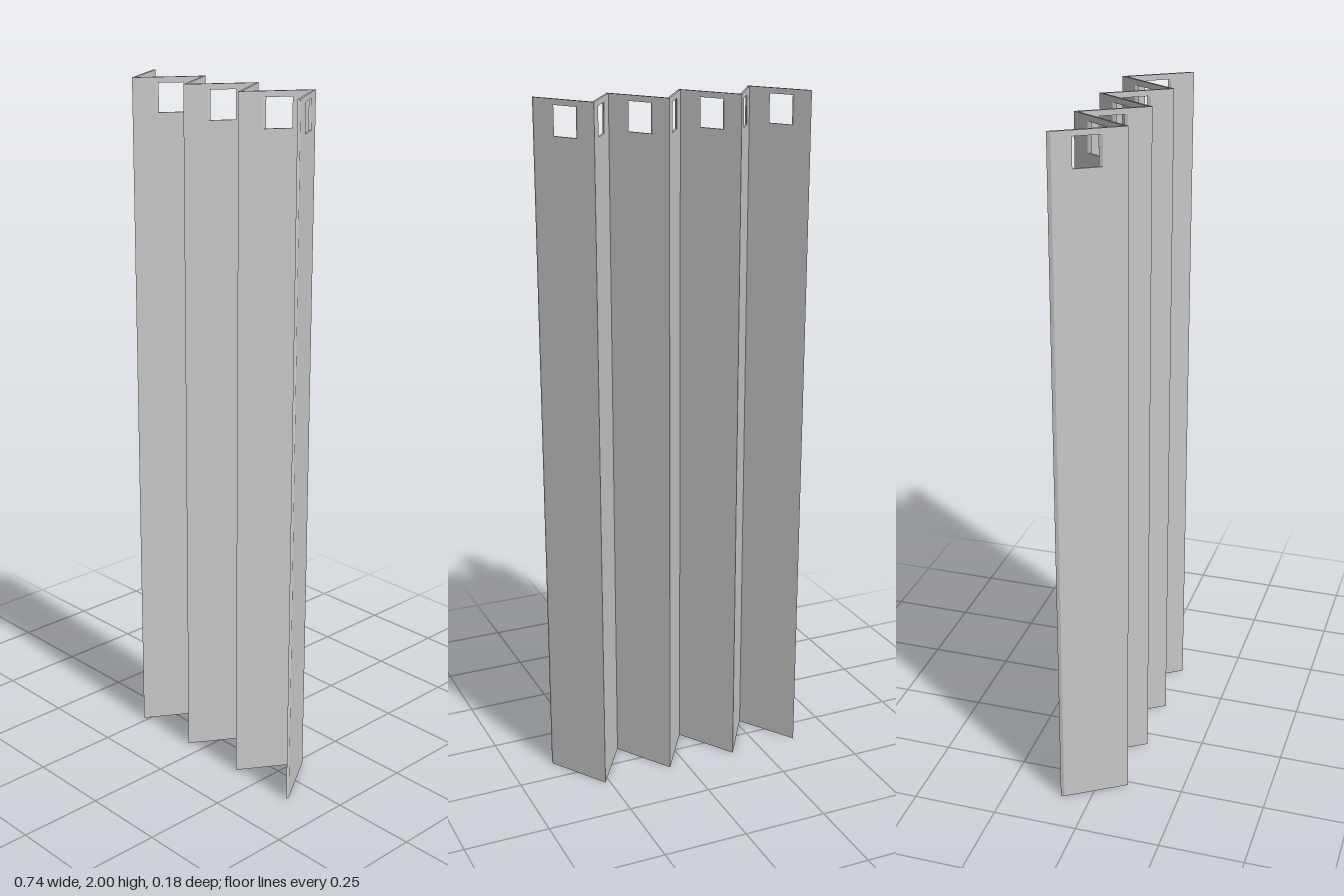
import * as THREE from 'three';

const PANELS = 7, WIDTH = 0.74, HEIGHT = 2, FOLD = 0.083, THICK = 0.011;
const W = WIDTH / PANELS;

// Remove triangles lying on a hidden or open rim.
function dropFaces(geometry, isDropped) {
  const p = geometry.attributes.position, kept = [];
  for (let i = 0; i < p.count; i += 3) {
    const corners = [0, 1, 2].map(k => new THREE.Vector3().fromBufferAttribute(p, i + k));
    if (!isDropped(corners)) corners.forEach(c => kept.push(c.x, c.y, c.z));
  }
  const out = new THREE.BufferGeometry();
  out.setAttribute('position', new THREE.Float32BufferAttribute(kept, 3));
  return out;
}

// One fold of the screen: a thin slab with a window, sheared into the zigzag.
function panelGeometry(index) {
  const slope = (index % 2 === 0 ? 1 : -1) * 2 * FOLD / W;
  const h = W / 2;
  const shape = new THREE.Shape([[-h, 0], [h, 0], [h, HEIGHT], [-h, HEIGHT]].map(c => new THREE.Vector2(...c)));
  const cx = -0.005 / slope, hw = 0.021;
  shape.holes.push(new THREE.Path([[cx - hw, 1.903], [cx - hw, 1.984], [cx + hw, 1.984], [cx + hw, 1.903]]
    .map(c => new THREE.Vector2(...c))));
  let g = new THREE.ExtrudeGeometry(shape, { depth: THICK, bevelEnabled: false });
  if (g.index) g = g.toNonIndexed();

  // Top, bottom and inner joints stay open; only the two outer ends are capped.
  const all = (cs, axis, v) => cs.every(c => Math.abs(c[axis] - v) < 1e-5);
  g = dropFaces(g, cs => all(cs, 'y', 0) || all(cs, 'y', HEIGHT) ||
    (index > 0 && all(cs, 'x', -h)) || (index < PANELS - 1 && all(cs, 'x', h)));

  const p = g.attributes.position;
  for (let i = 0; i < p.count; i++) p.setZ(i, p.getZ(i) - THICK / 2 + slope * p.getX(i));
  g.computeVertexNormals();
  return g;
}

export function createModel() {
  const group = new THREE.Group();
  group.name = 'foldedScreen';
  const material = new THREE.MeshStandardMaterial({ color: 0xcccccc, side: THREE.DoubleSide, flatShading: true });
  for (let i = 0; i < PANELS; i++) {
    const panel = new THREE.Mesh(panelGeometry(i), material);
    panel.name = `panel${i + 1}`;
    panel.position.x = (i - (PANELS - 1) / 2) * W;
    group.add(panel);
  }
  return group;
}
